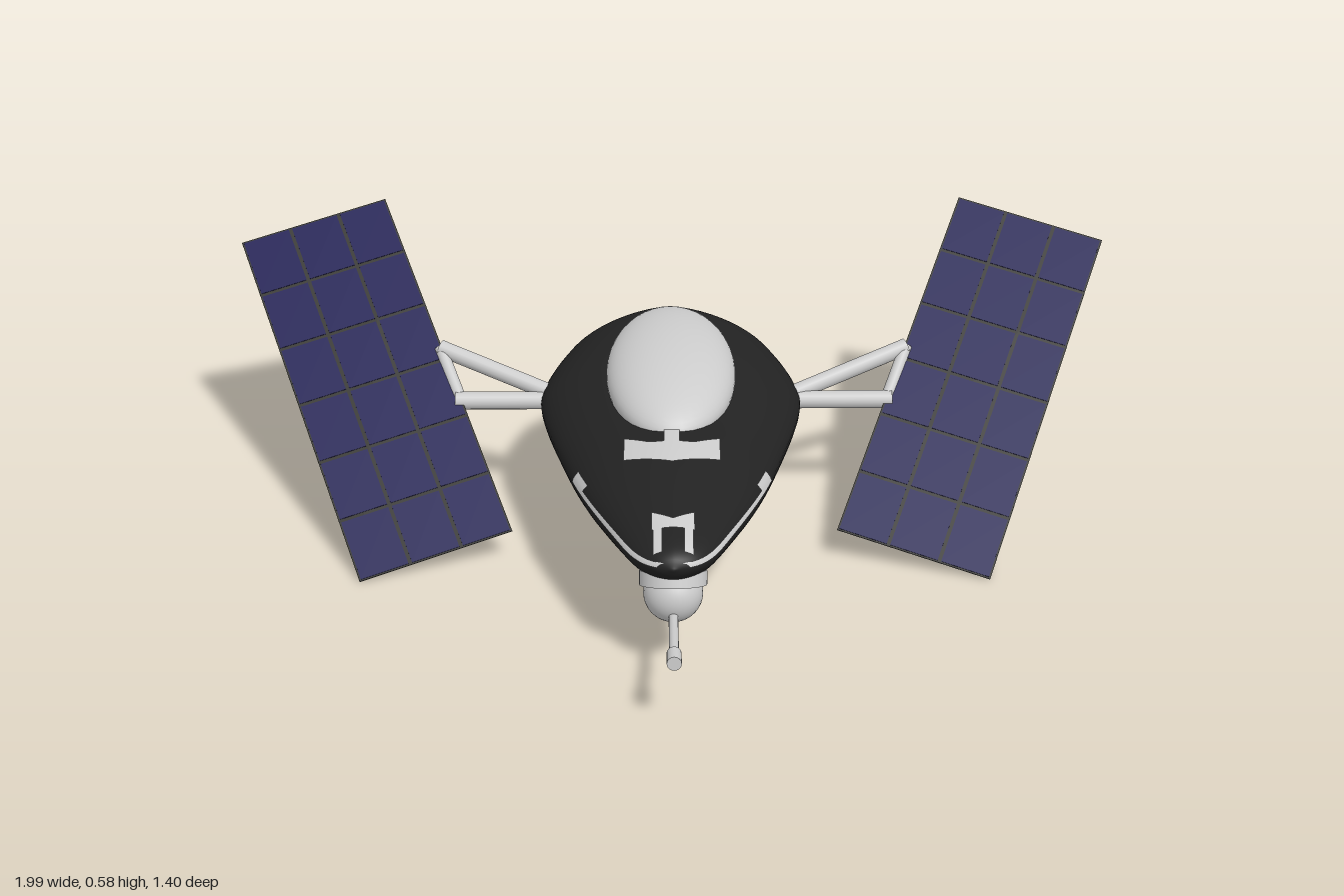
import * as THREE from 'three';
import { mergeVertices } from 'three/addons/utils/BufferGeometryUtils.js';

const V = (x, y, z) => new THREE.Vector3(x, y, z);
const grey = new THREE.MeshStandardMaterial({ color: 0xcccccc });
const trim = new THREE.MeshStandardMaterial({ color: 0xcccccc, side: THREE.DoubleSide });
const black = new THREE.MeshStandardMaterial({ color: 0x222222 });
const frameMat = new THREE.MeshStandardMaterial({ color: 0x2a2a26 });
const blue = new THREE.MeshStandardMaterial({ color: 0x110e50 });

function add(parent, name, geometry, material) {
  const mesh = new THREE.Mesh(geometry, material);
  mesh.name = name;
  parent.add(mesh);
  return mesh;
}

// Hull stations, nose to tail: z, half width, seam height, top, bottom
const stations = [
  [0.52, 0, 0.262, 0.262, 0.262],
  [0.505, 0.042, 0.262, 0.284, 0.238],
  [0.47, 0.075, 0.262, 0.299, 0.212],
  [0.4, 0.108, 0.262, 0.312, 0.18],
  [0.2, 0.185, 0.262, 0.345, 0.13],
  [0, 0.24, 0.262, 0.362, 0.088],
  [-0.2, 0.284, 0.265, 0.382, 0.065],
  [-0.3, 0.282, 0.27, 0.395, 0.074],
  [-0.4, 0.25, 0.28, 0.405, 0.115],
  [-0.46, 0.207, 0.3, 0.403, 0.18],
  [-0.51, 0.125, 0.325, 0.388, 0.265],
  [-0.532, 0.065, 0.337, 0.37, 0.305],
  [-0.54, 0, 0.345, 0.345, 0.345],
];
const widths = new THREE.CatmullRomCurve3(stations.map(s => V(s[1], s[2], s[0])), false, 'catmullrom', 0.5);
const heights = new THREE.CatmullRomCurve3(stations.map(s => V(s[3], s[4], s[0])), false, 'catmullrom', 0.5);
const N = 1.75; // exponent of the lens-like cross-section

function station(t) {
  const a = widths.getPoint(t), b = heights.getPoint(t);
  return { w: a.x, seam: a.y, z: a.z, top: b.x, bottom: b.y };
}
function stationAtZ(z) {
  let lo = 0, hi = 1;
  for (let i = 0; i < 30; i++) {
    const mid = (lo + hi) / 2;
    if (widths.getPoint(mid).z > z) lo = mid; else hi = mid;
  }
  return station(lo);
}
const arc = r => Math.pow(Math.max(0, 1 - Math.pow(Math.min(1, Math.abs(r)), N)), 1 / N);

// Surface from a rule fn(u, v) -> Vector3
function surface(fn, nu, nv) {
  const pos = [], idx = [];
  for (let i = 0; i <= nu; i++)
    for (let j = 0; j <= nv; j++) pos.push(...fn(i / nu, j / nv).toArray());
  for (let i = 0; i < nu; i++)
    for (let j = 0; j < nv; j++) {
      const a = i * (nv + 1) + j, b = a + nv + 1;
      idx.push(a, b, a + 1, b, b + 1, a + 1);
    }
  let g = new THREE.BufferGeometry();
  g.setAttribute('position', new THREE.Float32BufferAttribute(pos, 3));
  g.setIndex(idx);
  g = mergeVertices(g, 1e-5);
  g.computeVertexNormals();
  return g;
}

function hullPoint(u, v) {
  const s = station(u), a = v * Math.PI * 2 - Math.PI / 2;
  const c = Math.cos(a), n = Math.sin(a), p = 2 / N;
  const h = n > 0 ? s.top - s.seam : s.seam - s.bottom;
  return V(s.w * Math.sign(c) * Math.abs(c) ** p, s.seam + h * Math.sign(n) * Math.abs(n) ** p, s.z);
}

// Marking laid on the upper hull; z edges may vary with x
function topPatch(parent, name, x0, x1, zBack, zFront) {
  add(parent, name, surface((u, v) => {
    const x = x0 + (x1 - x0) * u, z = zBack(x) + (zFront(x) - zBack(x)) * v;
    const s = stationAtZ(z);
    return V(x, s.seam + (s.top - s.seam) * arc(x / s.w) + 0.004, z);
  }, 16, 8), trim);
}
// Marking laid on the flank
function sidePatch(parent, name, side, y0, y1, z0, z1) {
  add(parent, name, surface((u, v) => {
    const z = z0 + (z1 - z0) * u, y = y0 + (y1 - y0) * v;
    const s = stationAtZ(z);
    return V(side * (s.w * arc((y - s.seam) / (s.top - s.seam)) + 0.004), y, z + 0.002);
  }, 40, 3), trim);
}

function rod(parent, name, a, b, radius, sides = 16) {
  const d = b.clone().sub(a);
  const m = add(parent, name, new THREE.CylinderGeometry(radius, radius, d.length(), sides), grey);
  m.position.copy(a).addScaledVector(d, 0.5);
  m.quaternion.setFromUnitVectors(V(0, 1, 0), d.normalize());
  return m;
}

// Solar panel: thin frame with a grid of cells showing on both faces
function solarPanel(side) {
  const g = new THREE.Group();
  g.name = side > 0 ? 'leftSolarPanel' : 'rightSolarPanel';
  const W = 0.346, L = 0.92, cols = 3, rows = 6, gap = 0.008;
  add(g, 'panelFrame', new THREE.BoxGeometry(W, L, 0.002), frameMat);
  const cw = W / cols, cl = L / rows;
  const cell = new THREE.BoxGeometry(cw - gap, cl - gap, 0.004);
  for (let i = 0; i < cols; i++)
    for (let j = 0; j < rows; j++)
      add(g, 'solarCell', cell, blue).position.set((i + 0.5) * cw - W / 2, (j + 0.5) * cl - L / 2, 0);
  const across = V(0.325 * side, -0.07, 0.095).normalize();
  const along = V(0.32 * side, 0.505, -0.7).normalize();
  const normal = across.clone().cross(along).normalize();
  g.quaternion.setFromRotationMatrix(new THREE.Matrix4().makeBasis(across, along, normal));
  g.position.set(0.673 * side, 0.293, -0.302);
  return g;
}

export function createModel() {
  const model = new THREE.Group();
  model.name = 'spacecraft';
  const body = new THREE.Group();
  body.name = 'body';
  body.position.x = -0.007;
  model.add(body);

  // Hull and canopy
  add(body, 'hull', surface(hullPoint, 72, 64), black);
  const canopy = add(body, 'canopy', new THREE.SphereGeometry(1, 40, 28), grey);
  canopy.scale.set(0.141, 0.074, 0.272);
  canopy.position.set(0, 0.37, -0.18);
  canopy.rotation.x = 0.1;

  // Markings behind the nose and in front of the canopy
  const bow = x => Math.max(0, Math.abs(x) - 0.045) * 0.6;
  topPatch(body, 'chevron', -0.1, 0.1, x => 0.13 - bow(x), x => 0.21 - 0.3 * Math.abs(x));
  topPatch(body, 'chevronStem', -0.016, 0.016, () => 0.07, () => 0.135);
  topPatch(body, 'noseBar', -0.043, 0.043, x => 0.4 - 0.6 * Math.abs(x), () => 0.43);
  for (const s of [-1, 1]) {
    topPatch(body, 'noseArm', s > 0 ? 0.022 : -0.04, s > 0 ? 0.04 : -0.022, () => 0.42, () => 0.495);
    sidePatch(body, 'sideStripe', s, 0.265, 0.275, 0.19, 0.511);
    sidePatch(body, 'stripeEnd', s, 0.265, 0.288, 0.135, 0.2);
  }

  // Chin turret with its gun
  const collar = add(body, 'turretCollar', new THREE.CylinderGeometry(0.068, 0.068, 0.03, 32), grey);
  collar.position.set(0, 0.2, 0.432);
  collar.rotation.x = -0.37;
  add(body, 'turretBall', new THREE.SphereGeometry(0.06, 32, 20), grey).position.set(0, 0.17, 0.44);
  rod(body, 'gunBarrel', V(0, 0.138, 0.44), V(0, 0.157, 0.66), 0.0095);
  rod(body, 'gunMuzzle', V(0, 0.156, 0.655), V(0, 0.159, 0.7), 0.0145);

  // Hollow rear nozzle
  const wall = [[0.05, 0], [0.05, 0.2], [0.0625, 0.2], [0.0625, 0]].map(p => new THREE.Vector2(...p));
  const outer = add(body, 'nozzleOuter', new THREE.CylinderGeometry(0.0625, 0.0625, 0.2, 32, 1, true), trim);
  const inner = add(body, 'nozzleInner', new THREE.CylinderGeometry(wall[0].x, wall[0].x, 0.2, 32, 1, true), trim);
  for (const m of [outer, inner]) {
    m.rotation.x = Math.PI / 2;
    m.position.set(0, 0.257, -0.5);
  }
  add(body, 'nozzleRim', new THREE.RingGeometry(0.05, 0.0625, 32), trim).position.set(0, 0.257, -0.6);
  add(body, 'nozzleFloor', new THREE.CircleGeometry(0.05, 32), trim).position.set(0, 0.257, -0.54);

  // Panels and their struts
  for (const s of [-1, 1]) {
    const near = V(0.475 * s, 0.262, -0.27), far = V(0.525 * s, 0.345, -0.375);
    model.add(solarPanel(s));
    rod(model, 'mainStrut', V(0.24 * s, 0.262, -0.272), V(0.487 * s, 0.262, -0.272), 0.02);
    rod(model, 'braceStrut', V(0.24 * s, 0.265, -0.272), far, 0.019);
    rod(model, 'panelMount', near, far, 0.014);
  }
  return model;
}
